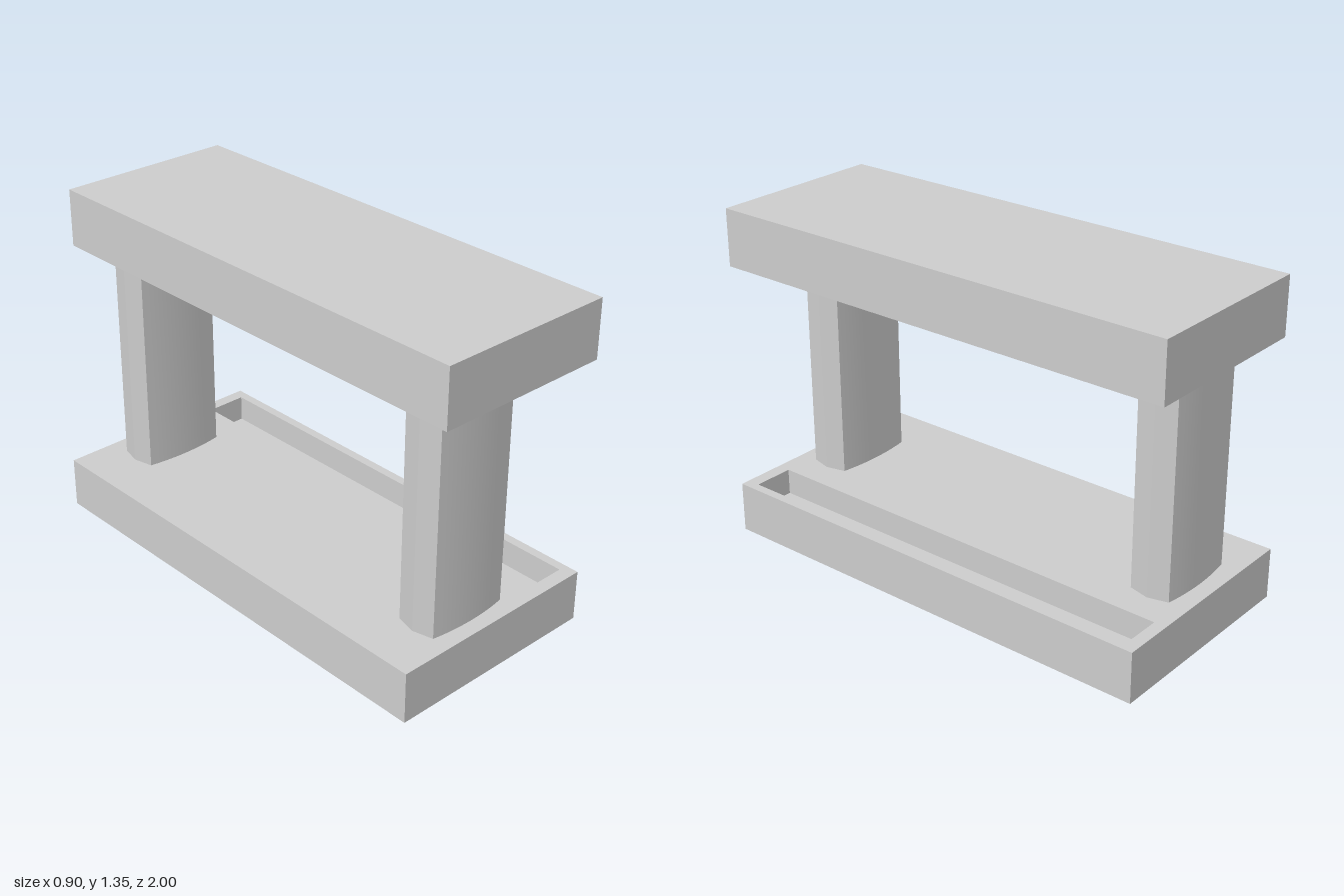
import * as THREE from 'three';
import { toCreasedNormals } from 'three/addons/utils/BufferGeometryUtils.js';

const material = new THREE.MeshStandardMaterial({ color: 0xcccccc });

// Extrudes a plan outline (x, -z) upwards from y0 to y1.
function slab(name, shape, y0, y1) {
  const geometry = new THREE.ExtrudeGeometry(shape, { depth: y1 - y0, bevelEnabled: false, curveSegments: 12 });
  geometry.rotateX(-Math.PI / 2).translate(0, y0, 0);
  const mesh = new THREE.Mesh(toCreasedNormals(geometry, 0.35), material);
  mesh.name = name;
  return mesh;
}

// Rectangle in plan, given by its x and z limits.
function rect(x0, x1, z0, z1, Type = THREE.Shape) {
  return new Type([[x0, -z1], [x1, -z1], [x1, -z0], [x0, -z0]].map(p => new THREE.Vector2(...p)));
}

// Column section: bowed front and back, shallow pointed sides.
function columnSection(z) {
  const s = new THREE.Shape();
  const xl = -0.24, xr = 0.105, mid = (xl + xr) / 2, edge = 0.082, bow = 0.112;
  s.moveTo(xl, -z - edge);
  s.quadraticCurveTo(mid, -z - bow, xr, -z - edge);
  s.lineTo(0.125, -z);
  s.lineTo(xr, -z + edge);
  s.quadraticCurveTo(mid, -z + bow, xl, -z + edge);
  s.lineTo(-0.26, -z);
  s.closePath();
  return s;
}

export function createModel() {
  const group = new THREE.Group();
  group.name = 'columnStand';

  // Base: solid lower layer, upper layer with a long trough along the +x side
  const base = new THREE.Group();
  base.name = 'base';
  const rim = rect(-0.45, 0.447, -0.95, 0.965);
  rim.holes.push(rect(0.243, 0.41, -0.9, 0.91, THREE.Path));
  base.add(slab('baseFloor', rect(-0.45, 0.447, -0.95, 0.965), 0, 0.1));
  base.add(slab('troughRim', rim, 0.1, 0.207));
  group.add(base);

  // Two columns
  group.add(slab('frontColumn', columnSection(0.807), 0.2, 1.12));
  group.add(slab('backColumn', columnSection(-0.785), 0.2, 1.12));

  // Top beam
  group.add(slab('topBeam', rect(-0.34, 0.397, -1, 1), 1.115, 1.347));
  return group;
}
